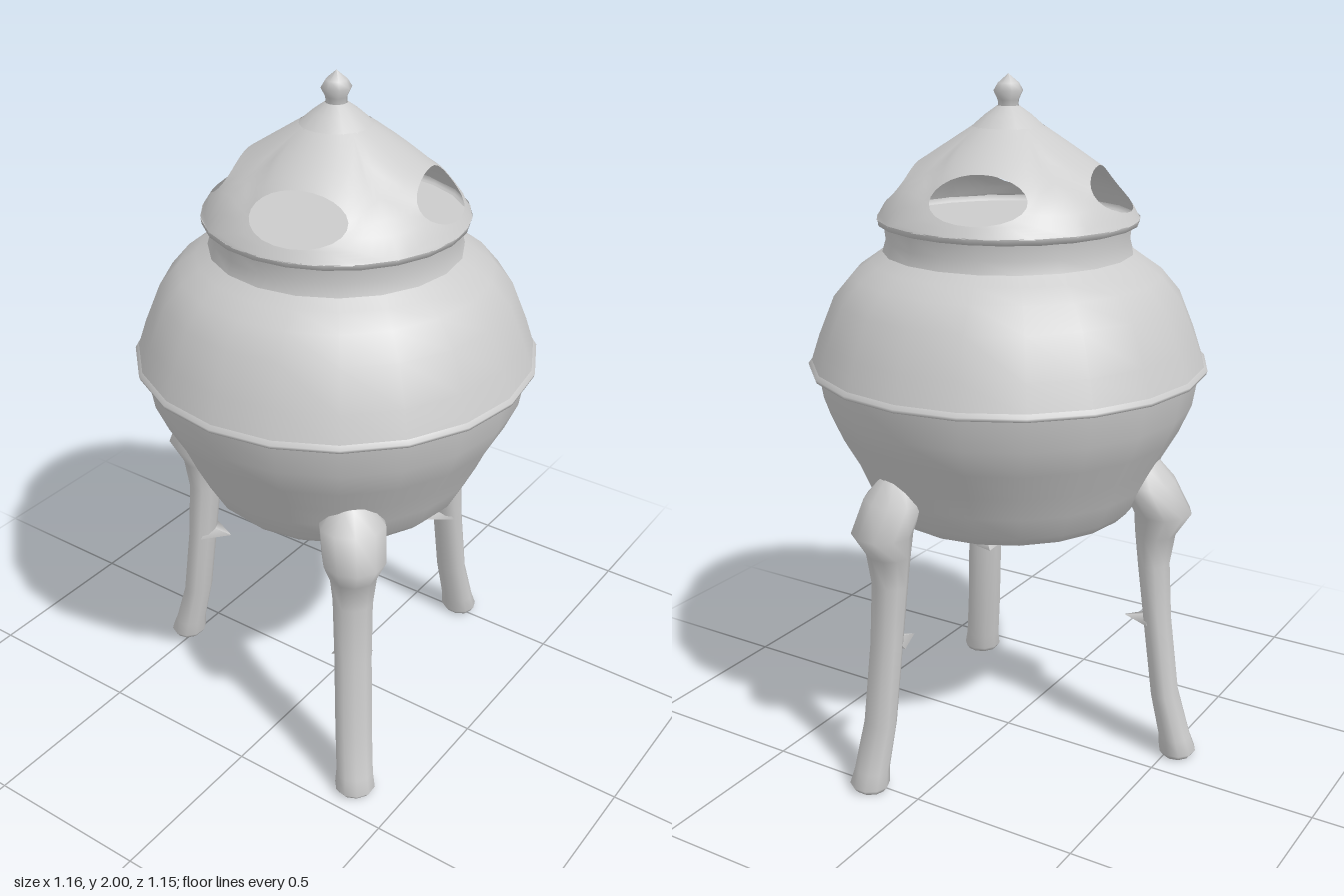
import * as THREE from 'three';
import { mergeGeometries, mergeVertices } from 'three/addons/utils/BufferGeometryUtils.js';

const material = new THREE.MeshStandardMaterial({ color: 0xcccccc, side: THREE.DoubleSide });
const SIDES = 20;

function addMesh(parent, name, geometry) {
  const mesh = new THREE.Mesh(geometry, material);
  mesh.name = name;
  parent.add(mesh);
  return mesh;
}

function lathe(parent, name, profile, sides = SIDES) {
  const points = profile.map(([r, y]) => new THREE.Vector2(r, y));
  return addMesh(parent, name, new THREE.LatheGeometry(points, sides));
}

// Skin a list of closed rings that all have the same number of points
function loft(rings) {
  const n = rings[0].length, index = [];
  for (let i = 0; i < rings.length - 1; i++) {
    for (let j = 0; j < n; j++) {
      const k = (j + 1) % n;
      const a = i * n + j, b = i * n + k, c = a + n, d = b + n;
      index.push(a, b, c, c, b, d);
    }
  }
  const geometry = new THREE.BufferGeometry().setFromPoints(rings.flat());
  geometry.setIndex(index);
  return geometry;
}

// Radius of the lid dome at a given height
const DOME = [[1.61, 0.37], [1.65, 0.345], [1.7, 0.305], [1.76, 0.225], [1.8, 0.175], [1.86, 0.1]];
function domeRadius(y) {
  let i = 0;
  while (i < DOME.length - 2 && y > DOME[i + 1][0]) i++;
  const [y0, r0] = DOME[i], [y1, r1] = DOME[i + 1];
  return THREE.MathUtils.mapLinear(y, y0, y1, r0, r1);
}

// One quarter of the dome, spread from an oval vent to the quarter's border
function domeQuarter(middle) {
  const rings = [], steps = 5, count = 24;
  for (let i = 0; i <= steps; i++) {
    const t = i / steps, ring = [];
    for (let j = 0; j < count; j++) {
      const phi = (j / count) * Math.PI * 2;
      const c = Math.cos(phi), s = Math.sin(phi);
      const m = Math.max(Math.abs(c), Math.abs(s));
      const angle = middle + THREE.MathUtils.lerp(c * 0.45, (c / m) * Math.PI / 4, t);
      const y = THREE.MathUtils.lerp(1.7 + s * 0.06, 1.735 + (s / m) * 0.125, t);
      // a soft hood over the vent
      const r = domeRadius(y) + 0.03 * (1 - t) * Math.max(0, s);
      ring.push(new THREE.Vector3(r * Math.cos(angle), y, r * Math.sin(angle)));
    }
    rings.push(ring);
  }
  return loft(rings);
}

// Leg built along +x: [height, distance from axis, half depth, half width]
const LEG = [
  [0.945, 0.41, 0.002, 0.002], [0.93, 0.41, 0.045, 0.05], [0.87, 0.425, 0.08, 0.095],
  [0.78, 0.47, 0.085, 0.09], [0.71, 0.45, 0.06, 0.068], [0.62, 0.448, 0.048, 0.058],
  [0.44, 0.465, 0.042, 0.055], [0.2, 0.495, 0.042, 0.055], [0.06, 0.53, 0.048, 0.055],
  [0.015, 0.54, 0.056, 0.06], [0, 0.54, 0.045, 0.05], [0, 0.54, 0.001, 0.001],
];
function makeLeg(angle) {
  const leg = new THREE.Group();
  leg.name = 'leg';
  const rings = LEG.map(([y, r, depth, width]) => Array.from({ length: 10 }, (_, j) => {
    const p = (j / 10) * Math.PI * 2;
    return new THREE.Vector3(r + depth * Math.cos(p), y, width * Math.sin(p));
  }));
  const shaft = loft(rings);
  shaft.computeVertexNormals();
  addMesh(leg, 'legShaft', shaft);

  // Small pointed spur on the inner side
  const spur = new THREE.ConeGeometry(0.06, 0.08, 4);
  spur.rotateZ(Math.PI / 2);
  spur.scale(1, 0.25, 1);
  addMesh(leg, 'legSpur', spur).position.set(0.405, 0.435, 0);

  leg.rotation.y = -angle;
  return leg;
}

export function createModel() {
  const model = new THREE.Group();
  model.name = 'tripodCenser';

  // Bowl
  lathe(model, 'bowlBottom', [[0, 0.755], [0.2, 0.755], [0.36, 0.76]]);
  lathe(model, 'bowl', [[0.36, 0.76], [0.39, 0.79], [0.425, 0.86], [0.455, 0.93],
    [0.5, 1.01], [0.535, 1.09], [0.55, 1.18]]);
  lathe(model, 'bowlRim', [[0.55, 1.18], [0.572, 1.185], [0.575, 1.195], [0.56, 1.21]]);

  // Rounded shoulder and neck
  lathe(model, 'shoulder', [[0.565, 1.205], [0.54, 1.28], [0.495, 1.39], [0.44, 1.455],
    [0.39, 1.49], [0.355, 1.515]]);
  lathe(model, 'neck', [[0.355, 1.515], [0.345, 1.55], [0.35, 1.595]]);

  // Lid with four vents
  const lid = new THREE.Group();
  lid.name = 'lid';
  model.add(lid);
  lathe(lid, 'lidFloor', [[0.36, 1.595], [0, 1.595]], 24);
  lathe(lid, 'lidRim', [[0.345, 1.59], [0.368, 1.597], [0.37, 1.612]], 24);
  const quarters = [0, 1, 2, 3].map((i) => domeQuarter(THREE.MathUtils.degToRad(75 + 90 * i)));
  const dome = mergeVertices(mergeGeometries(quarters), 1e-4);
  dome.computeVertexNormals();
  addMesh(lid, 'lidDome', dome);
  lathe(lid, 'lidCap', [[0.103, 1.857], [0.065, 1.89], [0.03, 1.915]], 16);
  lathe(lid, 'finial', [[0.028, 1.91], [0.03, 1.93], [0.042, 1.955], [0.03, 1.975], [0, 2]], 8);

  // Three splayed legs
  for (const degrees of [49, 167, -73]) model.add(makeLeg(THREE.MathUtils.degToRad(degrees)));

  return model;
}
